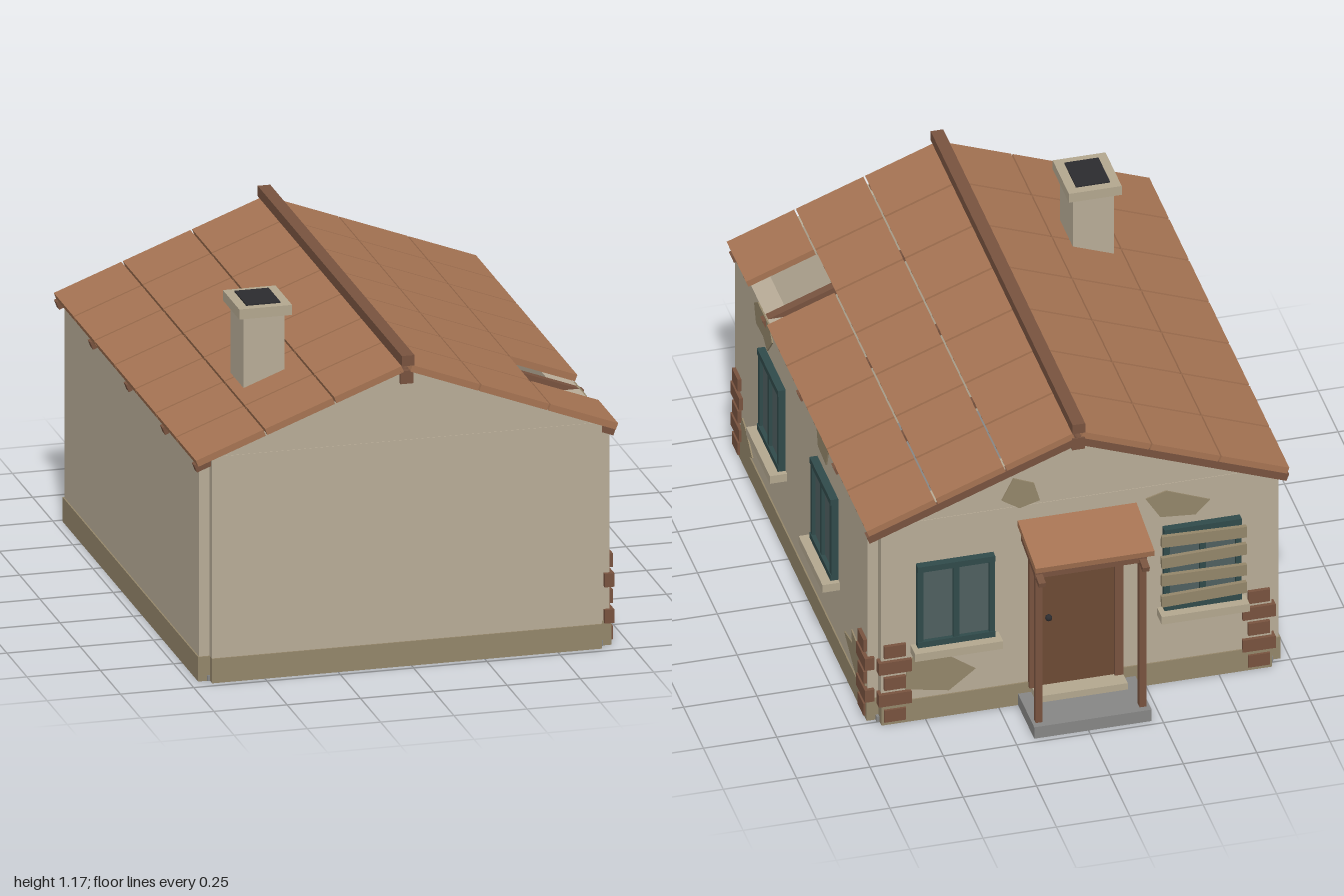
import * as THREE from 'three';

const mat = (name, color, side = THREE.FrontSide) => {
  const m = new THREE.MeshStandardMaterial({ color, side });
  m.name = name;
  return m;
};

export function createModel() {
  const wall = mat('stucco', 0xb8ac97);
  const mud = mat('old plaster', 0x94866a);
  const tile = mat('terracotta', 0xa67453);
  const wood = mat('brown timber', 0x78533f);
  const doorWood = mat('door wood', 0x6c4a34);
  const frame = mat('teal frame', 0x304a4a);
  const glass = mat('window glass', 0x4f5f60);
  const stone = mat('grey stone', 0x868685);
  const dark = mat('soot', 0x2c2c2f);
  const trim = mat('pale trim', 0xb3a78f);

  const house = new THREE.Group();
  house.name = 'house';

  const mesh = (parent, name, geo, m) => {
    const o = new THREE.Mesh(geo, m);
    o.name = name;
    parent.add(o);
    return o;
  };
  // Box given by its minimum and maximum along each axis
  const box = (parent, name, m, x0, x1, y0, y1, z0, z1) => {
    const o = mesh(parent, name, new THREE.BoxGeometry(x1 - x0, y1 - y0, z1 - z0), m);
    o.position.set((x0 + x1) / 2, (y0 + y1) / 2, (z0 + z1) / 2);
    return o;
  };
  const plate = (parent, name, m, pts, depth, z) => {
    const shape = new THREE.Shape(pts.map(p => new THREE.Vector2(p[0], p[1])));
    const geo = new THREE.ExtrudeGeometry(shape, { depth, bevelEnabled: false });
    const o = mesh(parent, name, geo, m);
    o.position.z = z;
    return o;
  };

  // Floor, hollow walls and plinth, with notched corners
  box(house, 'floor', stone, -0.69, 0.66, 0, 0.02, -0.75, 0.95);
  box(house, 'leftWall', wall, 0.61, 0.685, 0.01, 0.765, -0.73, 0.94);
  box(house, 'rightWall', wall, -0.715, -0.64, 0.01, 0.765, -0.73, 0.94);
  box(house, 'leftPlinth', mud, 0.63, 0.69, 0, 0.085, -0.735, 0.945);
  box(house, 'rightPlinth', mud, -0.72, -0.66, 0, 0.085, -0.735, 0.945);
  box(house, 'frontPlinth', mud, -0.68, 0.65, 0, 0.085, 0.92, 0.975);
  box(house, 'backPlinth', mud, -0.68, 0.65, 0, 0.085, -0.775, -0.72);
  const gable = [[-0.68, 0.785], [-0.68, 0.77], [0.65, 0.77], [0.65, 0.785], [-0.015, 1.025]];
  for (const [name, z] of [['front', 0.9], ['back', -0.77]]) {
    box(house, name + 'Wall', wall, -0.68, 0.65, 0.01, 0.785, z, z + 0.07);
    plate(house, name + 'Gable', wall, gable, 0.066, z + 0.002);
  }
  // Corner posts inside the notches
  for (const x of [-0.68, 0.61]) for (const z of [-0.735, 0.9])
    box(house, 'cornerPost', wall, x, x + 0.04, 0.01, 0.765, z, z + 0.04);

  // Roof: boxes placed along either slope, measured from the ridge
  const a = 0.362, ca = Math.cos(a), sa = Math.sin(a);
  const slopeBox = (name, m, side, s0, s1, top, thick, z0, z1) => {
    const s = (s0 + s1) / 2, n = top - thick / 2;
    const o = mesh(house, name, new THREE.BoxGeometry(s1 - s0, thick, z1 - z0), m);
    o.position.set(-0.018 + side * (s * ca + n * sa), 1.055 - s * sa + n * ca, (z0 + z1) / 2);
    o.rotation.z = -side * a;
  };
  for (const side of [-1, 1]) {
    for (let row = 0; row < 3; row++) for (let col = 0; col < 7; col++) {
      if (side === 1 && row === 2 && col === 5) continue; // missing tile
      const s = 0.02 + row * 0.252, z = -0.78 + col * 0.2535;
      slopeBox('roofTile', tile, side, s, s + 0.246, 0, 0.023, z, z + 0.244);
    }
    for (const z of [0.945, 0.55, 0.1, -0.345, -0.765])
      slopeBox('rafter', wood, side, 0, 0.778, -0.023, 0.027, z - 0.016, z + 0.016);
  }
  box(house, 'ridgeCap', wood, -0.04, 0.003, 1.052, 1.088, -0.79, 1);
  box(house, 'ridgeBeam', wood, -0.04, 0.003, 0.985, 1.03, -0.785, 0.985);

  // Chimney with a dark flue
  box(house, 'chimneyShaft', wall, -0.47, -0.33, 0.02, 1.135, 0.44, 0.6);
  box(house, 'chimneyCap', trim, -0.49, -0.31, 1.13, 1.165, 0.415, 0.62);
  box(house, 'chimneyFlue', dark, -0.458, -0.342, 1.16, 1.17, 0.445, 0.59);

  // Wall faces: local z points outward, local x runs along the wall
  const sideFace = new THREE.Group();
  sideFace.name = 'leftWallDetails';
  sideFace.rotation.y = Math.PI / 2;
  sideFace.position.x = 0.685;
  const backFace = new THREE.Group();
  backFace.name = 'backWallDetails';
  backFace.rotation.y = Math.PI;
  backFace.position.z = -0.77;
  house.add(sideFace, backFace);

  const addWindow = (face, u, y) => {
    const g = new THREE.Group();
    g.name = 'window';
    g.position.set(-u, y, 0);
    face.add(g);
    box(g, 'glass', glass, -0.12, 0.12, 0.01, 0.31, -0.01, 0.012);
    for (const x of [-0.122, 0, 0.122])
      box(g, 'windowUpright', frame, x - 0.01, x + 0.01, 0, 0.315, -0.01, 0.024);
    for (const y0 of [0, 0.298])
      box(g, 'windowRail', frame, -0.132, 0.132, y0, y0 + 0.022, -0.01, 0.027);
    box(g, 'sill', trim, -0.15, 0.15, -0.03, 0, -0.01, 0.059);
    return g;
  };
  addWindow(sideFace, 0.435, 0.315);
  addWindow(sideFace, -0.228, 0.315);
  addWindow(backFace, 0.4, 0.3);
  const boarded = addWindow(backFace, -0.44, 0.3);
  [0.03, -0.02, 0.025, -0.03].forEach((tilt, i) => {
    const b = box(boarded, 'board', mud, -0.145, 0.145, 0.03 + i * 0.076, 0.072 + i * 0.076, 0.027, 0.042);
    b.rotation.z = tilt;
  });

  // Exposed bricks at the corners
  const quoins = (face, u) => {
    for (let i = 0; i < 5; i++) {
      const w = i % 2 ? 0.056 : 0.037, y = 0.015 + i * 0.063;
      box(face, 'cornerBrick', wood, -u - w, -u + w, y, y + 0.047, -0.02, 0.013);
    }
  };
  quoins(sideFace, 0.898);
  quoins(sideFace, -0.687);
  quoins(backFace, 0.605);
  quoins(backFace, -0.635);

  // Bare plaster patches
  const patch = (face, pts) =>
    plate(face, 'plasterPatch', mud, pts.map(([u, y]) => [-u, y]), 0.006, -0.001);
  patch(sideFace, [[0.685, 0.735], [0.64, 0.765], [0.49, 0.765], [0.46, 0.72], [0.52, 0.65], [0.57, 0.675], [0.66, 0.67]]);
  patch(sideFace, [[-0.1, 0.765], [-0.25, 0.76], [-0.22, 0.68], [-0.12, 0.69]]);
  patch(sideFace, [[0.87, 0.085], [0.84, 0.175], [0.8, 0.165], [0.71, 0.1], [0.74, 0.085]]);
  patch(sideFace, [[-0.45, 0.17], [-0.55, 0.19], [-0.54, 0.235], [-0.7, 0.215], [-0.72, 0.1], [-0.6, 0.09]]);
  patch(backFace, [[0.24, 0.82], [0.2, 0.9], [0.13, 0.87], [0.11, 0.8], [0.18, 0.78]]);
  patch(backFace, [[-0.25, 0.74], [-0.32, 0.76], [-0.47, 0.7], [-0.42, 0.65], [-0.3, 0.66]]);
  patch(backFace, [[0.57, 0.13], [0.56, 0.25], [0.44, 0.25], [0.33, 0.17], [0.42, 0.1]]);

  // Door with frame and knob
  box(backFace, 'door', doorWood, -0.115, 0.145, 0.07, 0.6, -0.01, 0.012);
  for (const x of [-0.145, 0.145])
    box(backFace, 'doorJamb', wood, x - 0.015 + 0.01, x + 0.025, 0.07, 0.625, -0.01, 0.022);
  box(backFace, 'doorLintel', wood, -0.15, 0.17, 0.6, 0.63, -0.01, 0.024);
  const knob = mesh(backFace, 'doorKnob', new THREE.SphereGeometry(0.012, 10, 8), dark);
  knob.position.set(-0.085, 0.34, 0.022);

  // Porch: steps, posts, sloping bearers and canopy
  box(backFace, 'lowerStep', stone, -0.185, 0.215, 0, 0.045, -0.01, 0.21);
  box(backFace, 'upperStep', trim, -0.14, 0.17, 0.045, 0.07, -0.01, 0.075);
  for (const x of [-0.162, 0.192]) {
    box(backFace, 'porchPost', wood, x - 0.012, x + 0.012, 0.045, 0.63, 0.163, 0.187);
    const bearer = box(backFace, 'porchBearer', wood, x - 0.012, x + 0.012, 0.629, 0.647, -0.01, 0.228);
    bearer.rotation.x = 0.2;
  }
  box(backFace, 'porchCrossBeam', wood, -0.175, 0.205, 0.617, 0.637, 0.165, 0.185);
  const canopy = box(backFace, 'porchCanopy', tile, -0.185, 0.22, 0.686, 0.708, -0.01, 0.228);
  canopy.rotation.x = 0.19;

  return house;
}
